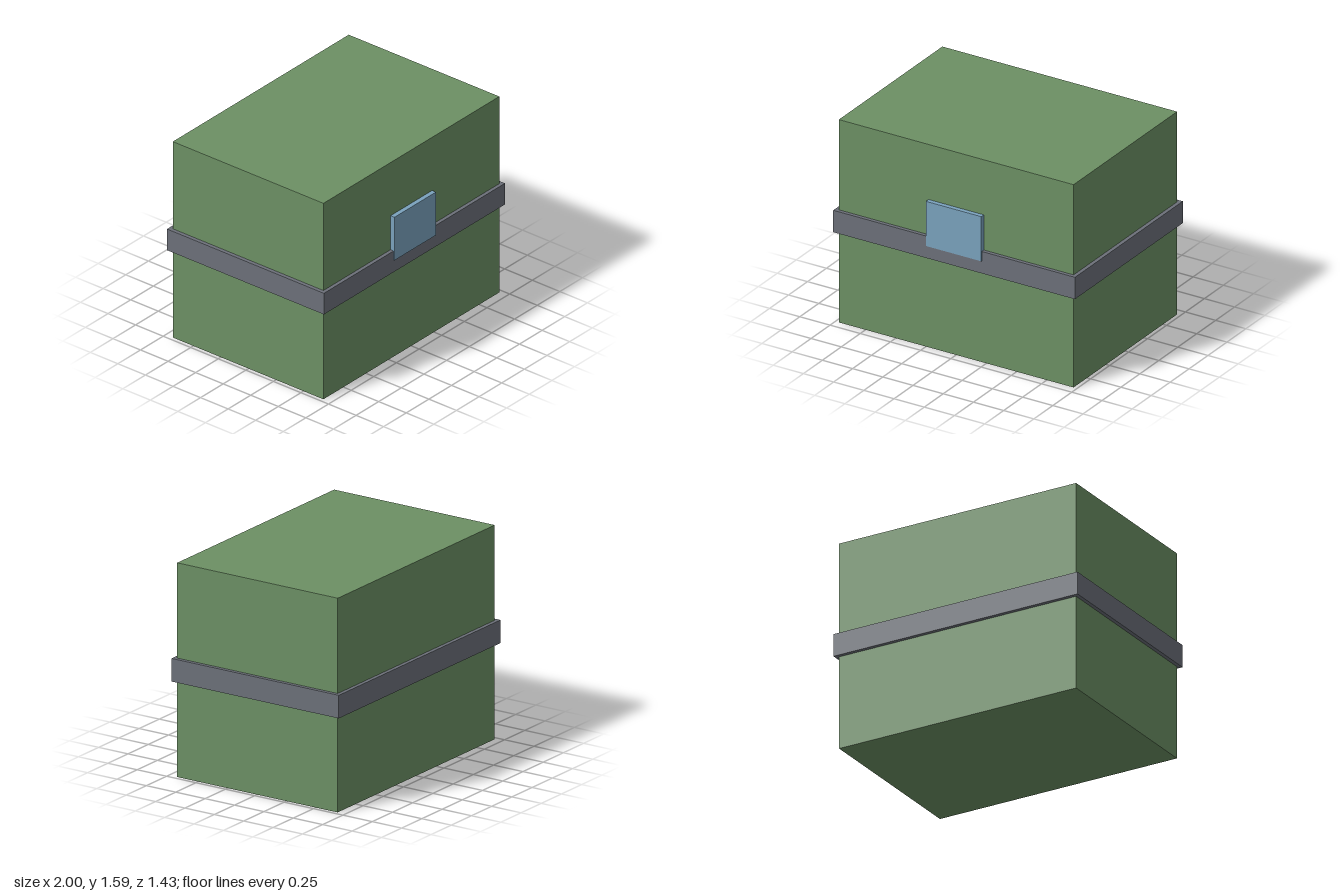
import * as THREE from 'three';

const material = (name, color) => {
  const m = new THREE.MeshStandardMaterial({ color });
  m.name = name;
  return m;
};

export function createModel() {
  const group = new THREE.Group();
  group.name = 'chest';

  const green = material('green', 0x6c9064);
  const grey = material('grey', 0x6c7079);
  const blue = material('blue', 0x7aa2bd);

  // Box given by its extents: half width in x, then y and z ranges
  const addBox = (name, mat, halfX, [y0, y1], [z0, z1]) => {
    const mesh = new THREE.Mesh(new THREE.BoxGeometry(halfX * 2, y1 - y0, z1 - z0), mat);
    mesh.position.set(0, (y0 + y1) / 2, (z0 + z1) / 2);
    mesh.name = name;
    group.add(mesh);
  };

  // Main block
  addBox('body', green, 0.971, [0, 1.585], [-0.686, 0.68]);
  // Band wrapping all four sides
  addBox('band', grey, 1, [0.709, 0.88], [-0.715, 0.708]);
  // Clasp plate on the front, standing just proud of the band
  addBox('clasp', blue, 0.229, [0.806, 1.155], [0.66, 0.715]);

  return group;
}
